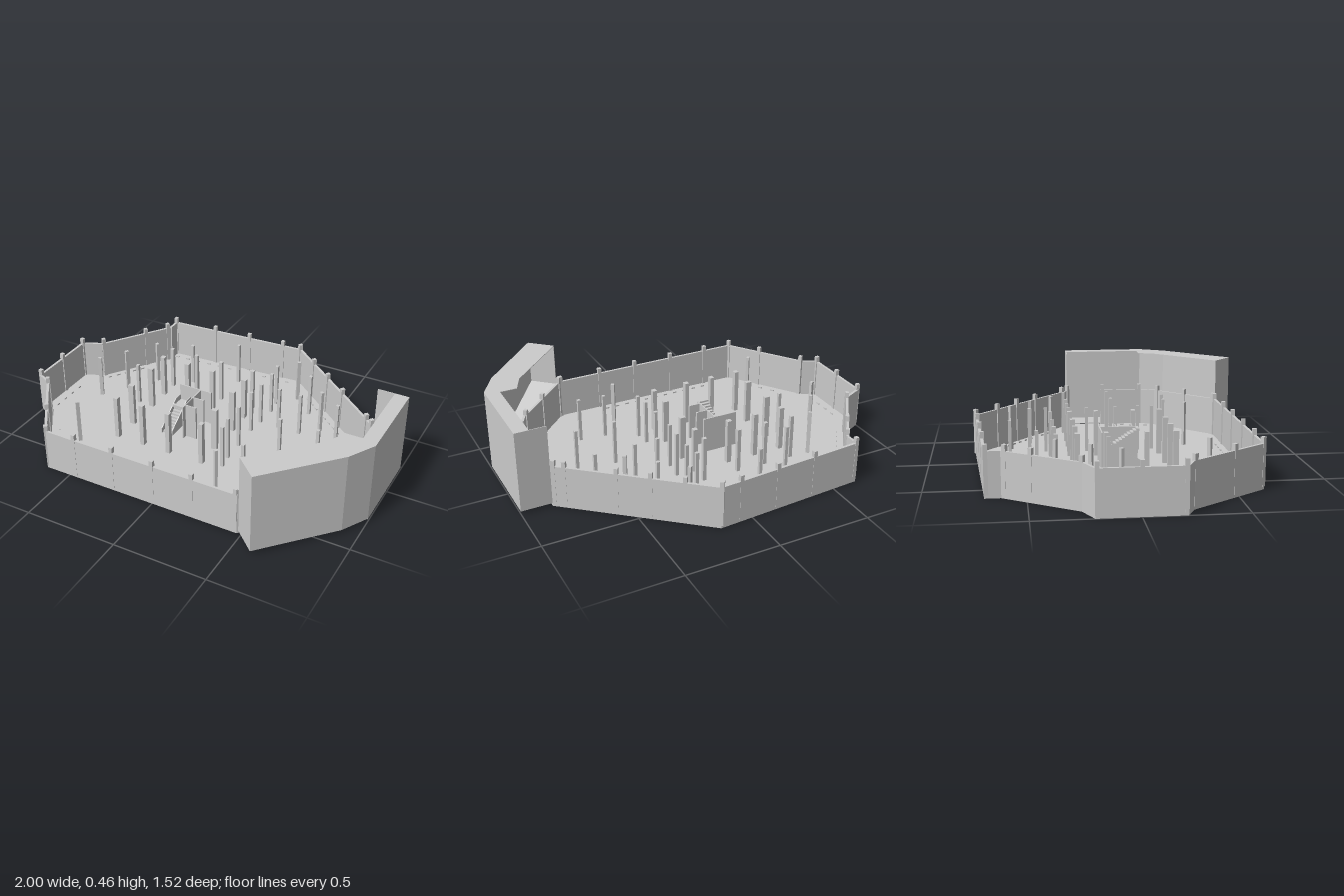
import * as THREE from 'three';

const grey = new THREE.MeshStandardMaterial({ color: 0xcccccc, flatShading: true, side: THREE.DoubleSide });
const FLOOR = 0.015, WALL_TOP = 0.23, COLUMN_TOP = 0.262, ROOF = 0.455;

// Outline in plan as [x, z], walking clockwise seen from above
const OUTLINE = [
  [-0.64, -0.7], [0.18, -0.755], [0.835, -0.205], [0.835, 0], [0.835, 0.25], [0.79, 0.34], [0.475, 0.65],
  [-0.64, 0.65], [-0.92, 0.25], [-1, 0.21], [-1, -0.21], [-0.89, -0.26], [-0.64, -0.62],
];
const OPENING = 2; // outline edge left open as the entrance

function add(parent, name, geometry) {
  const mesh = new THREE.Mesh(geometry, grey);
  mesh.name = name;
  parent.add(mesh);
  return mesh;
}

function box(parent, name, x, z, y0, y1, w, d, angle = 0) {
  const mesh = add(parent, name, new THREE.BoxGeometry(w, y1 - y0, d));
  mesh.position.set(x, (y0 + y1) / 2, z);
  mesh.rotation.y = angle;
  return mesh;
}

// Flat plate cut from a plan polygon
function plate(parent, name, points, y0, y1) {
  const shape = new THREE.Shape(points.map(([x, z]) => new THREE.Vector2(x, -z)));
  const geometry = new THREE.ExtrudeGeometry(shape, { depth: y1 - y0, bevelEnabled: false });
  geometry.rotateX(-Math.PI / 2).translate(0, y0, 0);
  return add(parent, name, geometry);
}

// Upright wall from p to q, thickness to the right-hand (inner) side
function wall(parent, name, p, q, y0, y1, t) {
  const dx = q[0] - p[0], dz = q[1] - p[1], len = Math.hypot(dx, dz);
  const x = (p[0] + q[0]) / 2 - (dz / len) * t / 2;
  const z = (p[1] + q[1]) / 2 + (dx / len) * t / 2;
  return box(parent, name, x, z, y0, y1, len, t, -Math.atan2(dz, dx));
}

function group(parent, name) {
  const g = new THREE.Group();
  g.name = name;
  parent.add(g);
  return g;
}

function buildPerimeter(root) {
  const g = group(root, 'perimeterWalls');
  // Fractions along each edge where a pilaster stands
  const pilasters = {
    0: [0.01, 0.33, 0.6, 0.86], 1: [0, 0.21, 0.41, 0.61, 0.92, 0.985], 3: [0.05, 0.97], 5: [0.05, 0.5, 0.97],
    6: [0.01, 0.225, 0.425, 0.635, 0.84], 7: [0.01, 0.43, 0.98], 9: [0.02, 0.5, 0.98],
    11: [0.01, 0.63, 0.96],
  };
  OUTLINE.forEach((p, i) => {
    if (i === OPENING) return;
    const q = OUTLINE[(i + 1) % OUTLINE.length];
    wall(g, 'wall', p, q, FLOOR, WALL_TOP, 0.014);
    const dx = q[0] - p[0], dz = q[1] - p[1], len = Math.hypot(dx, dz);
    for (const f of pilasters[i] || []) {
      const x = p[0] + dx * f - (dz / len) * 0.009;
      const z = p[1] + dz * f + (dx / len) * 0.009;
      box(g, 'pilaster', x, z, FLOOR, COLUMN_TOP, 0.02, 0.021, -Math.atan2(dz, dx));
    }
  });
}

function buildColumns(root) {
  const g = group(root, 'columns');
  const column = (x, z, w = 0.017, d = 0.017, a = 0) => box(g, 'column', x, z, FLOOR, COLUMN_TOP, w, d, a);
  // Regular grid around the stair
  for (const x of [-0.46, -0.3, -0.14, 0.06]) {
    column(x, -0.35, 0.02, 0.02);
    column(x, -0.245, 0.026, 0.026);
    column(x, 0.245, 0.024, 0.028);
  }
  for (const x of [-0.457, 0.06]) for (const z of [-0.102, 0.1]) column(x, z, 0.032, 0.022);
  for (const x of [0.165, 0.275, 0.4, 0.615]) column(x, -0.245);
  for (const x of [0.16, 0.4, 0.615]) column(x, 0.015);
  // Scattered columns
  for (const [x, z] of [[0.17, -0.37], [-0.54, -0.1], [0.155, -0.145], [0.16, 0.14], [0.17, 0.22],
    [-0.14, -0.57], [0.16, -0.46], [0.37, -0.45], [-0.375, -0.44], [0.335, 0.31], [0.475, 0.325]]) column(x, z);
  // Columns turned to follow the slanted walls
  for (const [x, z, a] of [[0.25, -0.56, 0.7], [0.49, -0.325, -0.6], [-0.57, -0.36, -0.6], [-0.68, -0.2, 1],
    [-0.775, -0.065, 0.4], [0.235, 0.415, -0.7], [-0.62, 0.38, 0.8]]) column(x, z, 0.02, 0.016, a);
}

function buildFloorMarkers(root) {
  const g = group(root, 'floorMarkers');
  // Rows of small raised strips: [x0, z0, x1, z1, count]
  const rows = [
    [-0.605, -0.645, -0.25, -0.67, 6], [-0.1, -0.68, 0.12, -0.695, 4], [0.31, -0.575, 0.63, -0.31, 9],
    [0.775, 0.05, 0.775, 0.13, 2], [0.74, 0.19, 0.74, 0.27, 2], [-0.43, 0.595, 0.2, 0.595, 11],
    [-0.645, 0.545, -0.78, 0.35, 4], [-0.935, -0.06, -0.935, 0.15, 4], [-0.84, -0.245, -0.72, -0.42, 5],
  ];
  for (const [x0, z0, x1, z1, n] of rows) {
    const angle = -Math.atan2(z1 - z0, x1 - x0);
    for (let i = 0; i < n; i++) {
      const f = i / (n - 1);
      box(g, 'marker', x0 + (x1 - x0) * f, z0 + (z1 - z0) * f, FLOOR, 0.023, 0.022, 0.006, angle);
    }
  }
}

function buildStair(root) {
  const g = group(root, 'stairCore');
  const mid = 0.12, top = 0.215, steps = 10, z0 = -0.05, z1 = 0.1;
  box(g, 'backWall', -0.168, -0.102, FLOOR, top, 0.195, 0.007);
  box(g, 'landing', -0.2, -0.075, mid - 0.01, mid, 0.125, 0.05);
  const run = (z1 - z0) / steps;
  for (let i = 0; i < steps; i++) {
    const z = z1 - run * (i + 0.5);
    const low = FLOOR + (mid - FLOOR) * (i + 1) / steps;
    const high = top - (top - mid) * (i + 1) / steps;
    box(g, 'lowerStep', -0.232, z, low - 0.013, low, 0.058, run);
    box(g, 'upperStep', -0.168, z, high - 0.003, high + 0.01, 0.058, run);
  }
  // Sloping side panels beside the lower flight
  for (const x of [-0.268, -0.203]) {
    const shape = new THREE.Shape([[-z1 - 0.01, FLOOR], [-z1 - 0.01, 0.045], [-z0, mid + 0.03], [0.1, mid + 0.03], [0.1, FLOOR]]
      .map(([a, b]) => new THREE.Vector2(a, b)));
    const side = add(g, 'sidePanel', new THREE.ExtrudeGeometry(shape, { depth: 0.005, bevelEnabled: false }));
    side.rotation.y = Math.PI / 2;
    side.position.x = x;
  }
  box(g, 'eastWall', -0.136, 0, FLOOR, top, 0.006, 0.2);
  for (const z of [-0.015, 0.07]) {
    box(g, 'partition', -0.103, z, FLOOR, top, 0.065, 0.006);
    box(g, 'partitionEnd', -0.073, z, FLOOR, top, 0.008, 0.012);
  }
  box(g, 'partitionEnd', -0.073, -0.1, FLOOR, top, 0.008, 0.012);
}

function buildRampHouse(root) {
  const g = group(root, 'rampHouse');
  const outer = [[0.835, -0.205], [1, -0.205], [1, 0.27], [0.92, 0.41], [0.6, 0.755], [0.485, 0.65]];
  // Tall outer shell with both ends
  for (let i = 0; i < outer.length - 1; i++) wall(g, 'shellWall', outer[i], outer[i + 1], 0.02, ROOF, 0.004);
  // Roof, notched above the entrance
  plate(g, 'roof', [[0.925, -0.205], ...outer.slice(1), [0.79, 0.34], [0.835, 0.24], [0.925, 0.24]], ROOF - 0.003, ROOF);
  plate(g, 'entranceFloor', [[0.835, -0.205], [1, -0.205], [1, 0.27], [0.835, 0.25]], 0.016, 0.021);
  // Ramp climbing along the inside of the shell: [inner, outer, height]
  const sections = [
    [[0.835, 0.25], [1, 0.27], 0.02], [[0.79, 0.34], [0.92, 0.41], 0.06], [[0.485, 0.65], [0.6, 0.755], 0.22],
  ];
  const positions = [], index = [];
  sections.forEach(([a, b, y], i) => {
    positions.push(a[0], y, a[1], b[0], y, b[1]);
    if (i) index.push(2 * i - 2, 2 * i, 2 * i - 1, 2 * i - 1, 2 * i, 2 * i + 1);
  });
  const ramp = new THREE.BufferGeometry();
  ramp.setAttribute('position', new THREE.Float32BufferAttribute(positions, 3));
  ramp.setIndex(index);
  ramp.computeVertexNormals();
  add(g, 'ramp', ramp);
}

export function createModel() {
  const root = new THREE.Group();
  root.name = 'parkingDeck';
  plate(root, 'floorSlab', OUTLINE, 0, FLOOR);
  buildPerimeter(root);
  buildColumns(root);
  buildFloorMarkers(root);
  buildStair(root);
  buildRampHouse(root);
  return root;
}
